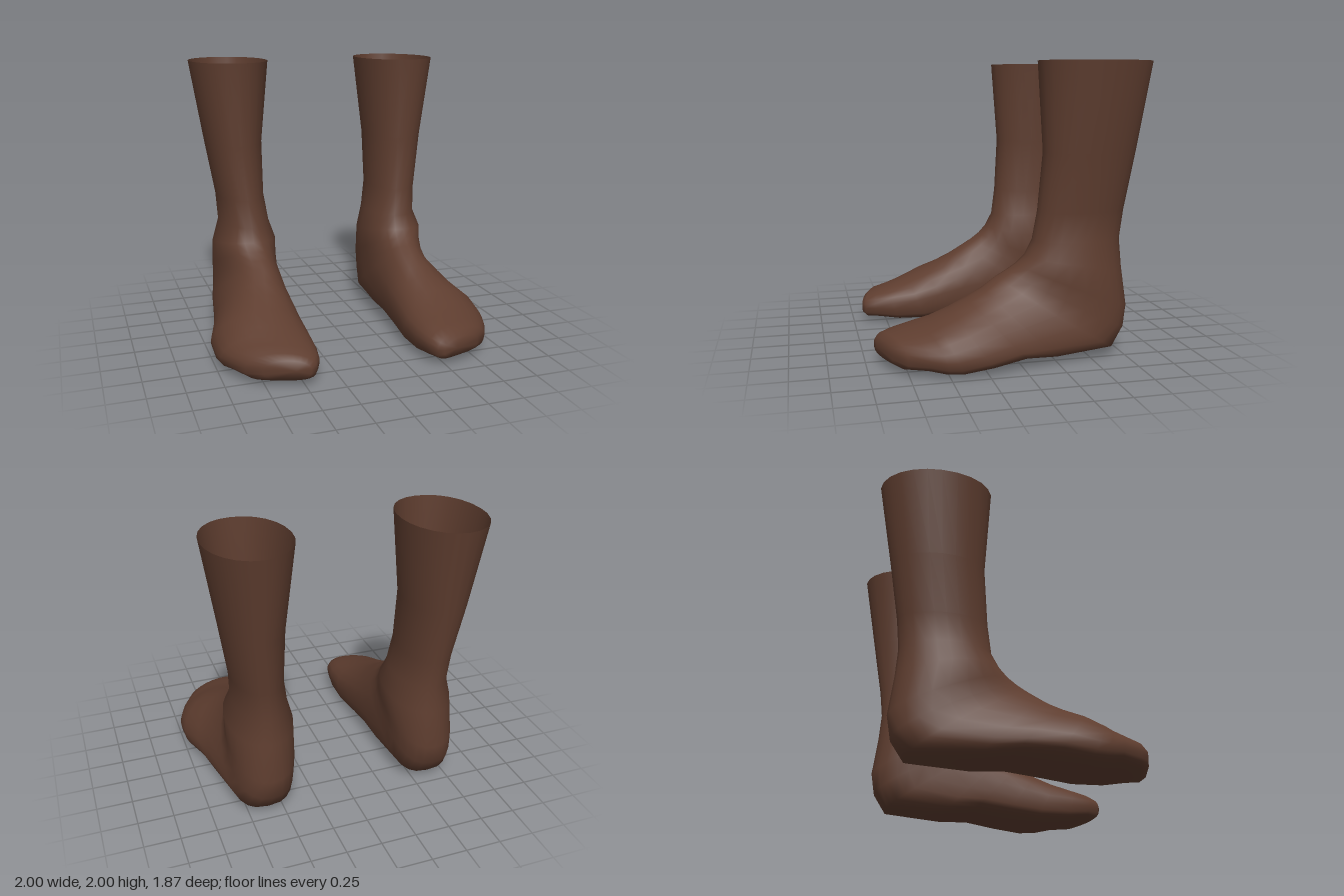
import * as THREE from 'three';

const SIDES = 24;

// Shin: height, front z, back z, inner x, outer x
const SHIN = [
  [2, -0.15, -0.93, 0.37, 0.95],
  [1.4, -0.19, -0.83, 0.435, 0.855],
  [1, -0.16, -0.765, 0.44, 0.79],
  [0.8, -0.13, -0.745, 0.41, 0.78],
];

// Foot, fanning from the ankle to the toes: instep z, y, sole z, y, inner x, outer x
const FOOT = [
  [-0.08, 0.7, -0.76, 0.6, 0.365, 0.83],
  [-0.02, 0.645, -0.795, 0.33, 0.375, 0.83],
  [0.05, 0.6, -0.77, 0.18, 0.385, 0.83],
  [0.12, 0.56, -0.68, 0.05, 0.38, 0.85],
  [0.22, 0.49, -0.26, 0.03, 0.38, 0.9],
  [0.33, 0.43, -0.04, 0.05, 0.375, 0.94],
  [0.45, 0.375, 0.2, 0.025, 0.37, 1],
  [0.57, 0.32, 0.42, 0, 0.36, 1],
  [0.66, 0.285, 0.58, 0.005, 0.365, 0.985],
  [0.76, 0.25, 0.72, 0.03, 0.39, 0.945],
  [0.85, 0.225, 0.83, 0.03, 0.43, 0.87],
  [0.895, 0.19, 0.89, 0.06, 0.47, 0.77],
];

const power = (v, e) => Math.sign(v) * Math.pow(Math.abs(v), e);

// One oval ring; f runs from 0 at the ankle to 1 at the toes
function ring([topZ, topY, soleZ, soleY, inner, outer], f) {
  const arch = Math.sin(Math.PI * f);
  const widest = 0.5 + 0.15 * arch;
  const boxiness = Math.max(0.6, 1 - f); // flatter sole towards the toes
  const toe = THREE.MathUtils.clamp((topZ - 0.55) / 0.4, 0, 1);
  const slant = 0.11 * Math.sin(Math.PI * toe); // outer toes sit further back
  const centre = new THREE.Vector2(soleZ, soleY).lerp(new THREE.Vector2(topZ, topY), 1 - widest);
  const points = [];
  for (let j = 0; j < SIDES; j++) {
    const t = (j / SIDES) * Math.PI * 2;
    const upper = Math.cos(t) >= 0;
    const e = upper ? 0.95 : boxiness;
    const v = Math.abs(power(Math.cos(t), e));
    const u = power(Math.sin(t), e);
    const x = (inner + outer) / 2 + ((outer - inner) / 2) * u - (upper ? 0.05 * arch * v : 0);
    const y = centre.y + ((upper ? topY : soleY) - centre.y) * v;
    const z = centre.x + ((upper ? topZ : soleZ) - centre.x) * v - slant * u;
    points.push(new THREE.Vector3(x, y, z));
  }
  return points;
}

function footGeometry(side) {
  const rings = [
    ...SHIN.map(([y, front, back, inner, outer]) => ring([front, y, back, y, inner, outer], 0)),
    ...FOOT.map((section, i) => ring(section, i / (FOOT.length - 1))),
  ];
  const points = rings.flat();
  const index = [];
  const face = (a, b, c) => (side > 0 ? index.push(a, b, c) : index.push(a, c, b));
  for (let i = 0; i < rings.length - 1; i++) {
    for (let j = 0; j < SIDES; j++) {
      const a = i * SIDES + j, b = i * SIDES + ((j + 1) % SIDES);
      face(a, a + SIDES, b);
      face(b, a + SIDES, b + SIDES);
    }
  }
  // Toe tip closes the last ring
  const tip = points.length, last = tip - SIDES;
  points.push(new THREE.Vector3(0.57, 0.125, 0.93));
  for (let j = 0; j < SIDES; j++) face(last + j, tip, last + ((j + 1) % SIDES));

  points.forEach((p) => { p.x *= side; });
  const geometry = new THREE.BufferGeometry().setFromPoints(points);
  geometry.setIndex(index);
  geometry.computeVertexNormals();
  return geometry;
}

export function createModel() {
  const group = new THREE.Group();
  group.name = 'feet';
  // The shin is open at the top, so its inside shows
  const skin = new THREE.MeshStandardMaterial({ color: 0x5e3d2f, side: THREE.DoubleSide });
  skin.name = 'brown skin';
  for (const [name, side] of [['leftFoot', 1], ['rightFoot', -1]]) {
    const foot = new THREE.Mesh(footGeometry(side), skin);
    foot.name = name;
    group.add(foot);
  }
  return group;
}
